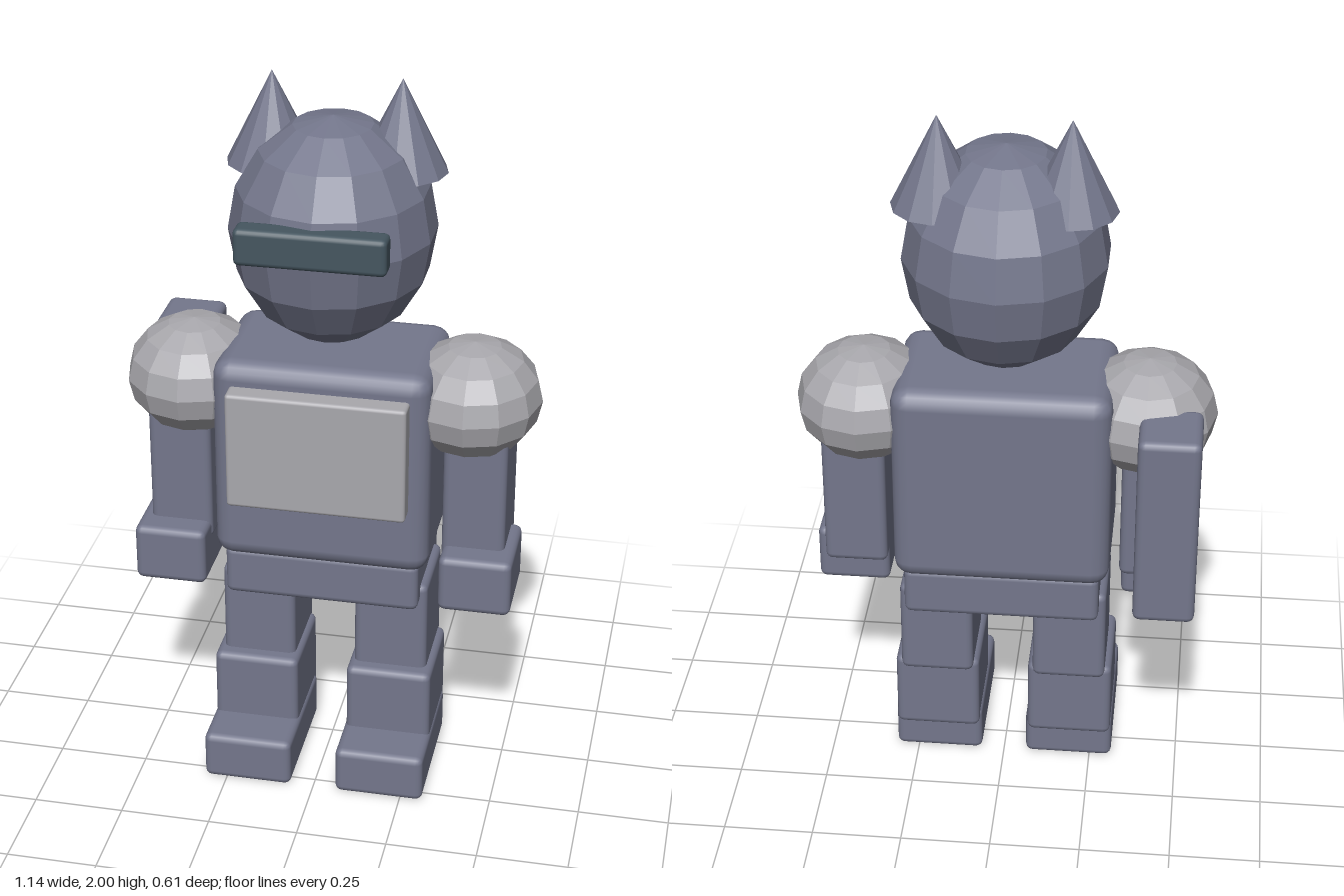
import * as THREE from 'three';
import { RoundedBoxGeometry } from 'three/addons/geometries/RoundedBoxGeometry.js';

export function createModel() {
  const model = new THREE.Group();
  model.name = 'robot';

  const material = (name, color) => {
    const m = new THREE.MeshStandardMaterial({ color });
    m.name = name;
    return m;
  };
  const armour = material('blue grey armour', 0x74778c);
  const plate = material('light grey plate', 0xa9a8ad);
  const glass = material('dark visor', 0x455660);

  const add = (name, geometry, mat) => {
    const mesh = new THREE.Mesh(geometry, mat);
    mesh.name = name;
    model.add(mesh);
    return mesh;
  };

  // Box with softened edges, given by its limits on each axis
  const box = (name, [x0, x1], [y0, y1], [z0, z1], mat = armour, radius = 0.02) => {
    const g = new RoundedBoxGeometry(x1 - x0, y1 - y0, z1 - z0, 2, radius);
    return add(name, g.translate((x0 + x1) / 2, (y0 + y1) / 2, (z0 + z1) / 2), mat);
  };

  // Turn a smooth geometry into flat facets
  const facet = (g) => {
    const flat = g.toNonIndexed();
    flat.computeVertexNormals();
    return flat;
  };

  // Faceted ellipsoid with a vertex column facing front
  const ball = (name, segments, [rx, ry, rz], [x, y, z], mat) => {
    const g = new THREE.SphereGeometry(1, segments, 8).rotateY(Math.PI / 2);
    return add(name, facet(g.scale(rx, ry, rz).translate(x, y, z)), mat);
  };

  // Head and visor
  ball('head', 14, [0.276, 0.309, 0.296], [0, 1.599, -0.005], armour);
  box('visor', [-0.198, 0.198], [1.6, 1.7], [0.237, 0.306], glass, 0.015);

  // Torso
  box('torso', [-0.297, 0.297], [0.67, 1.263], [-0.2, 0.19], armour, 0.05);
  box('chestPlate', [-0.244, 0.244], [0.865, 1.2], [0.14, 0.245], plate, 0.01);
  box('pelvis', [-0.27, 0.27], [0.545, 0.69], [-0.18, 0.17]);

  // Paired parts
  for (const [side, s] of [['left', 1], ['right', -1]]) {
    const span = (a, b) => (s > 0 ? [a, b] : [-b, -a]);

    const ear = new THREE.ConeGeometry(0.123, 0.248, 12).translate(s * 0.172, 1.876, -0.055);
    add(side + 'Ear', facet(ear), armour);

    ball(side + 'Shoulder', 12, [0.187, 0.16, 0.204], [s * 0.385, 1.14, -0.006], plate);
    box(side + 'Arm', span(0.322, 0.496), [0.67, 1.12], [-0.122, 0.106]);
    box(side + 'Hand', span(0.326, 0.526), [0.565, 0.73], [-0.06, 0.18]);

    box(side + 'Thigh', span(0.085, 0.29), [0.31, 0.6], [-0.13, 0.124]);
    box(side + 'Shin', span(0.07, 0.309), [0.097, 0.335], [-0.11, 0.166]);
    box(side + 'Foot', span(0.064, 0.313), [0, 0.14], [-0.09, 0.295]);
  }

  // Single pack slung behind the right shoulder
  box('backPack', [-0.535, -0.368], [0.652, 1.217], [-0.308, -0.12]);

  return model;
}
